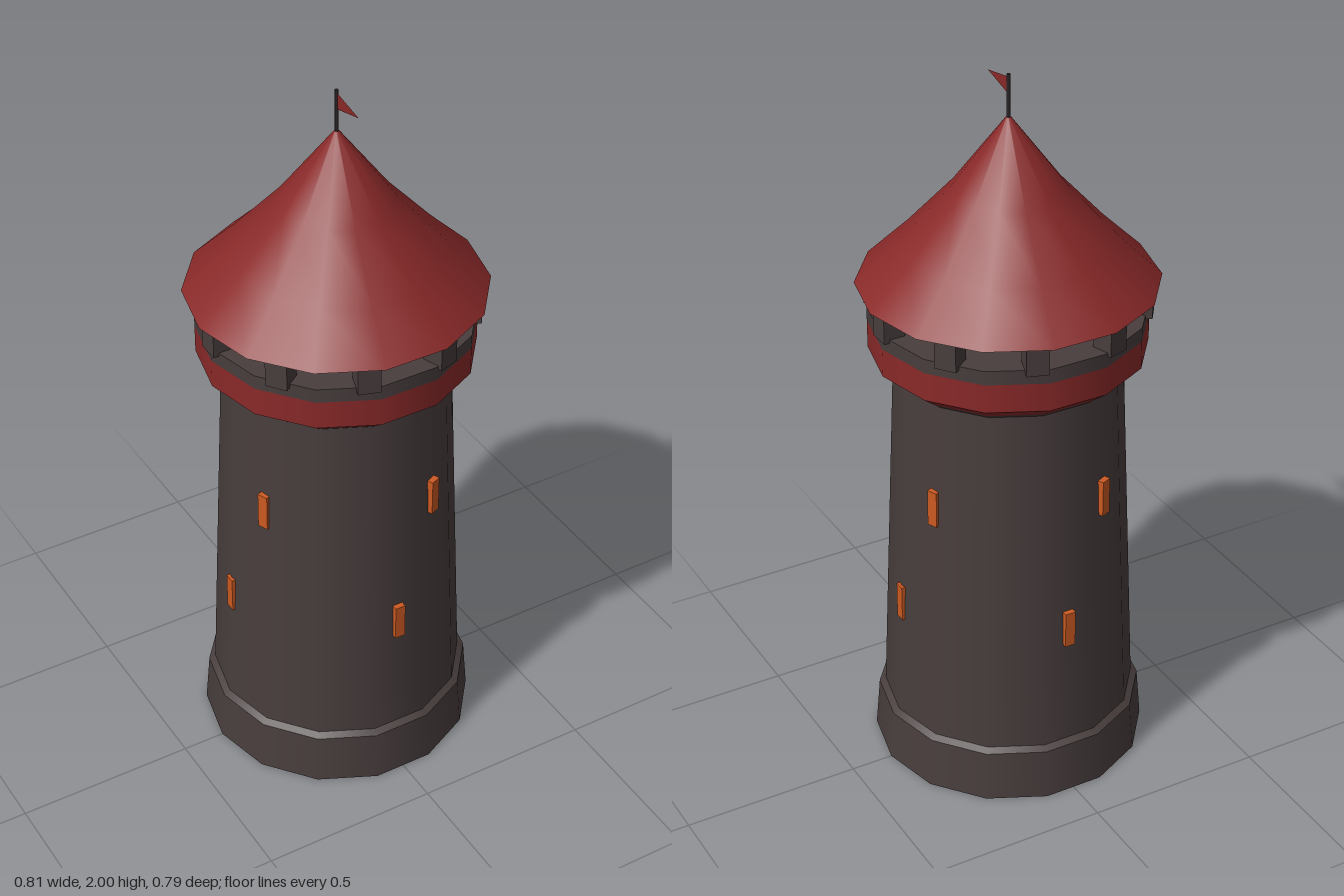
import * as THREE from 'three';

const SIDES = 14;

function makeMaterial(name, color, side = THREE.FrontSide) {
  const m = new THREE.MeshStandardMaterial({ color, side });
  m.name = name;
  return m;
}

export function createModel() {
  const stone = makeMaterial('stone', 0x483d3d);
  const red = makeMaterial('red', 0x8a2929);
  const cloth = makeMaterial('flagRed', 0x8a2929, THREE.DoubleSide);
  const orange = makeMaterial('windowOrange', 0xcc5a22);
  const iron = makeMaterial('iron', 0x2a2526);

  const tower = new THREE.Group();
  tower.name = 'tower';

  function add(name, geometry, material, parent = tower) {
    const mesh = new THREE.Mesh(geometry, material);
    mesh.name = name;
    parent.add(mesh);
    return mesh;
  }

  // One tapered ring of wall from y0 to y1, with a corner on the x axis
  function band(name, r0, r1, y0, y1, material, open = false) {
    const g = new THREE.CylinderGeometry(r1, r0, y1 - y0, SIDES, 1, open, Math.PI / 2);
    g.translate(0, (y0 + y1) / 2, 0);
    return add(name, g, material);
  }

  // A box set at an angle around the tower, facing outward
  function radialBox(name, size, angle, radius, y, material, parent) {
    const mesh = add(name, new THREE.BoxGeometry(...size), material, parent);
    mesh.position.set(Math.sin(angle) * radius, y, Math.cos(angle) * radius);
    mesh.rotation.y = angle;
  }

  // Walls
  band('base', 0.38, 0.368, 0, 0.145, stone);
  band('baseLedge', 0.368, 0.35, 0.145, 0.157, stone, true);
  band('body', 0.351, 0.307, 0.145, 1.185, stone);
  band('collar', 0.307, 0.325, 1.183, 1.198, stone, true);
  band('corbel', 0.325, 0.372, 1.198, 1.235, red, true);
  band('redBand', 0.372, 0.372, 1.235, 1.315, red, true);
  band('deck', 0.372, 0.372, 1.315, 1.355, stone);

  // Gallery posts
  const posts = new THREE.Group();
  posts.name = 'galleryPosts';
  tower.add(posts);
  for (let i = 0; i < 10; i++) {
    radialBox('post', [0.06, 0.09, 0.06], Math.PI / 2 + (i * Math.PI) / 5, 0.35, 1.39, stone, posts);
  }

  // Slit windows in two staggered rows
  const windows = new THREE.Group();
  windows.name = 'windows';
  tower.add(windows);
  for (let i = 0; i < 4; i++) {
    const a = (i * Math.PI) / 2;
    radialBox('lowerWindow', [0.03, 0.105, 0.03], a, 0.326, 0.517, orange, windows);
    radialBox('upperWindow', [0.03, 0.105, 0.03], a + 0.4, 0.313, 0.877, orange, windows);
  }

  // Roof with a slight flare and a flat underside
  const profile = [
    [0.403, 1.427], [0.285, 1.543], [0.153, 1.688], [0.008, 1.882], [0, 1.885],
  ].map(([r, y]) => new THREE.Vector2(r, y));
  add('roof', new THREE.LatheGeometry(profile, SIDES, Math.PI / 2), red);
  const under = new THREE.CircleGeometry(0.403, SIDES).rotateX(Math.PI / 2);
  add('roofUnderside', under.translate(0, 1.427, 0), red);

  // Flagpole and pennant
  add('flagpole', new THREE.CylinderGeometry(0.005, 0.005, 0.14, 8), iron).position.y = 1.93;
  const pennant = new THREE.Shape([
    new THREE.Vector2(0, 1.992), new THREE.Vector2(0, 1.945), new THREE.Vector2(0.106, 1.972),
  ]);
  add('flag', new THREE.ShapeGeometry(pennant).rotateY(-Math.PI / 2), cloth);

  return tower;
}
